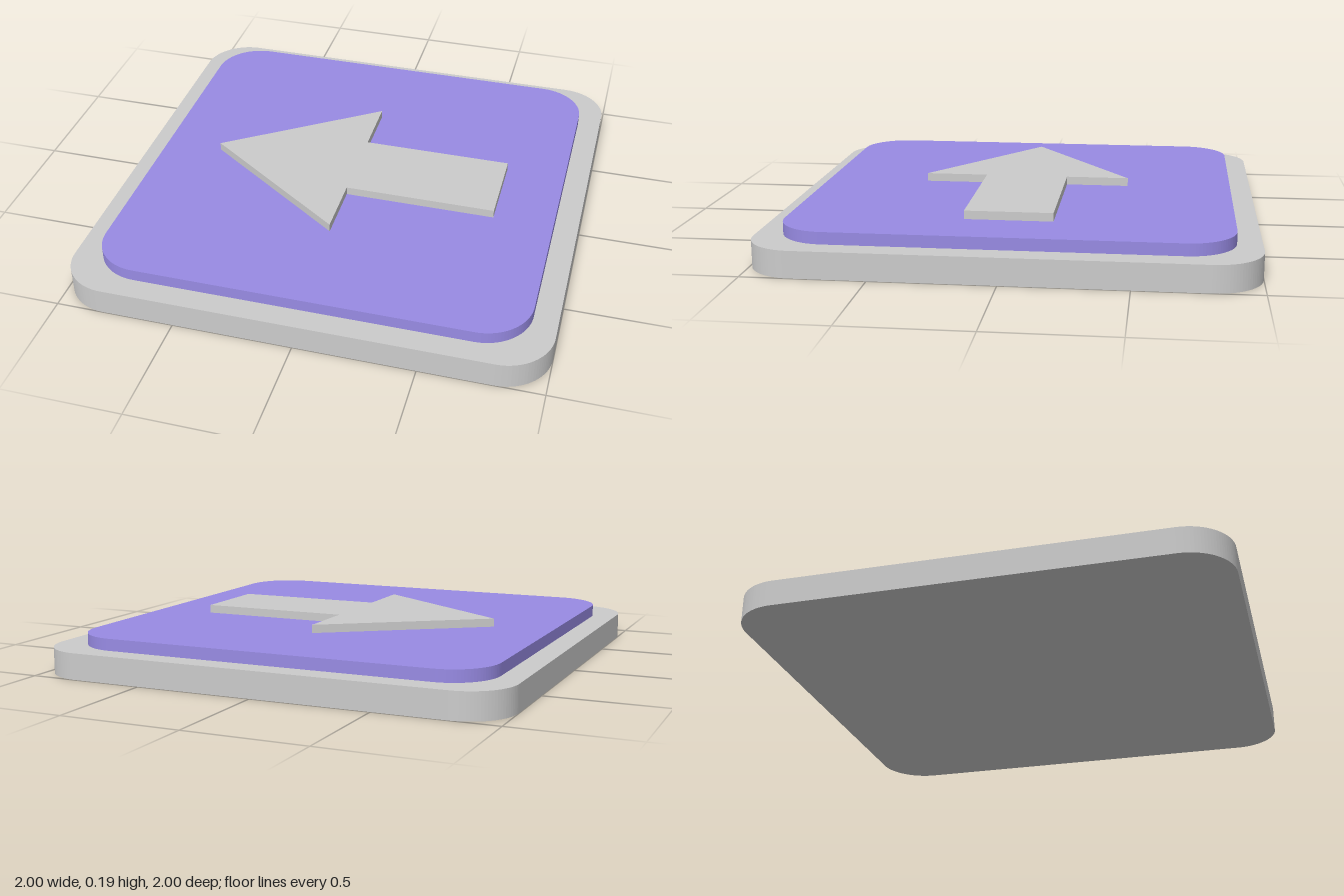
import * as THREE from 'three';

const grey = new THREE.MeshStandardMaterial({ color: 0xcccccc });
const purple = new THREE.MeshStandardMaterial({ color: 0x988be4 });

// Square outline with rounded corners, centred on the origin
function roundedSquare(half, radius) {
  const shape = new THREE.Shape();
  const c = half - radius;
  [[c, c], [-c, c], [-c, -c], [c, -c]].forEach(([x, y], i) => {
    shape.absarc(x, y, radius, i * Math.PI / 2, (i + 1) * Math.PI / 2, false);
  });
  shape.closePath();
  return shape;
}

// Flat slab extruded upwards from bottom to top
function slab(name, shape, bottom, top, material) {
  const geometry = new THREE.ExtrudeGeometry(shape, {
    depth: top - bottom, bevelEnabled: false, curveSegments: 12,
  });
  geometry.rotateX(-Math.PI / 2);
  geometry.translate(0, bottom, 0);
  const mesh = new THREE.Mesh(geometry, material);
  mesh.name = name;
  return mesh;
}

export function createModel() {
  const group = new THREE.Group();
  group.name = 'arrowTile';

  // Arrow pointing towards -x
  const arrow = new THREE.Shape([
    [-0.645, 0], [0, -0.45], [0, -0.18], [0.645, -0.18],
    [0.645, 0.18], [0, 0.18], [0, 0.45],
  ].map(([x, y]) => new THREE.Vector2(x, y)));

  group.add(
    slab('base', roundedSquare(1, 0.2), 0, 0.11, grey),
    slab('panel', roundedSquare(0.9, 0.2), 0.11, 0.16, purple),
    slab('arrow', arrow, 0.16, 0.195, grey),
  );
  return group;
}
